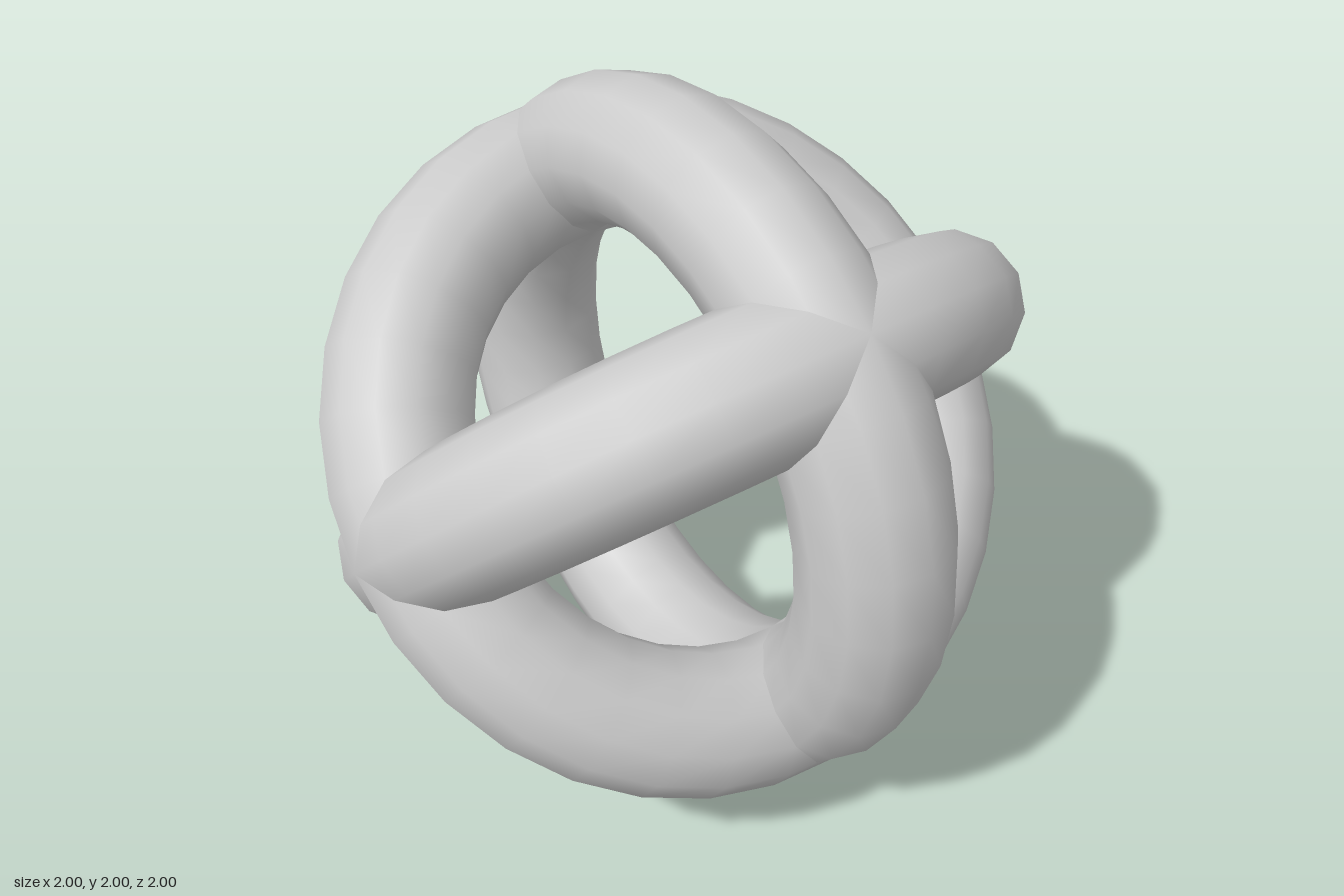
import * as THREE from 'three';

// Three equal interlocked rings sharing one centre
export function createModel() {
  const group = new THREE.Group();
  const material = new THREE.MeshStandardMaterial({ color: 0xcccccc });

  const addRing = (name, tiltX, tiltZ) => {
    const geometry = new THREE.TorusGeometry(0.8, 0.2, 12, 32);
    geometry.rotateX(tiltX).rotateZ(tiltZ);
    const ring = new THREE.Mesh(geometry, material);
    ring.name = name;
    ring.position.y = 1;
    group.add(ring);
  };

  // Upright ring facing the front
  addRing('uprightRing', 0, 0);
  // Two rings running front to back, crossing in an X
  addRing('risingRing', Math.PI / 2, Math.PI / 4);
  addRing('fallingRing', Math.PI / 2, -Math.PI / 4);

  return group;
}
